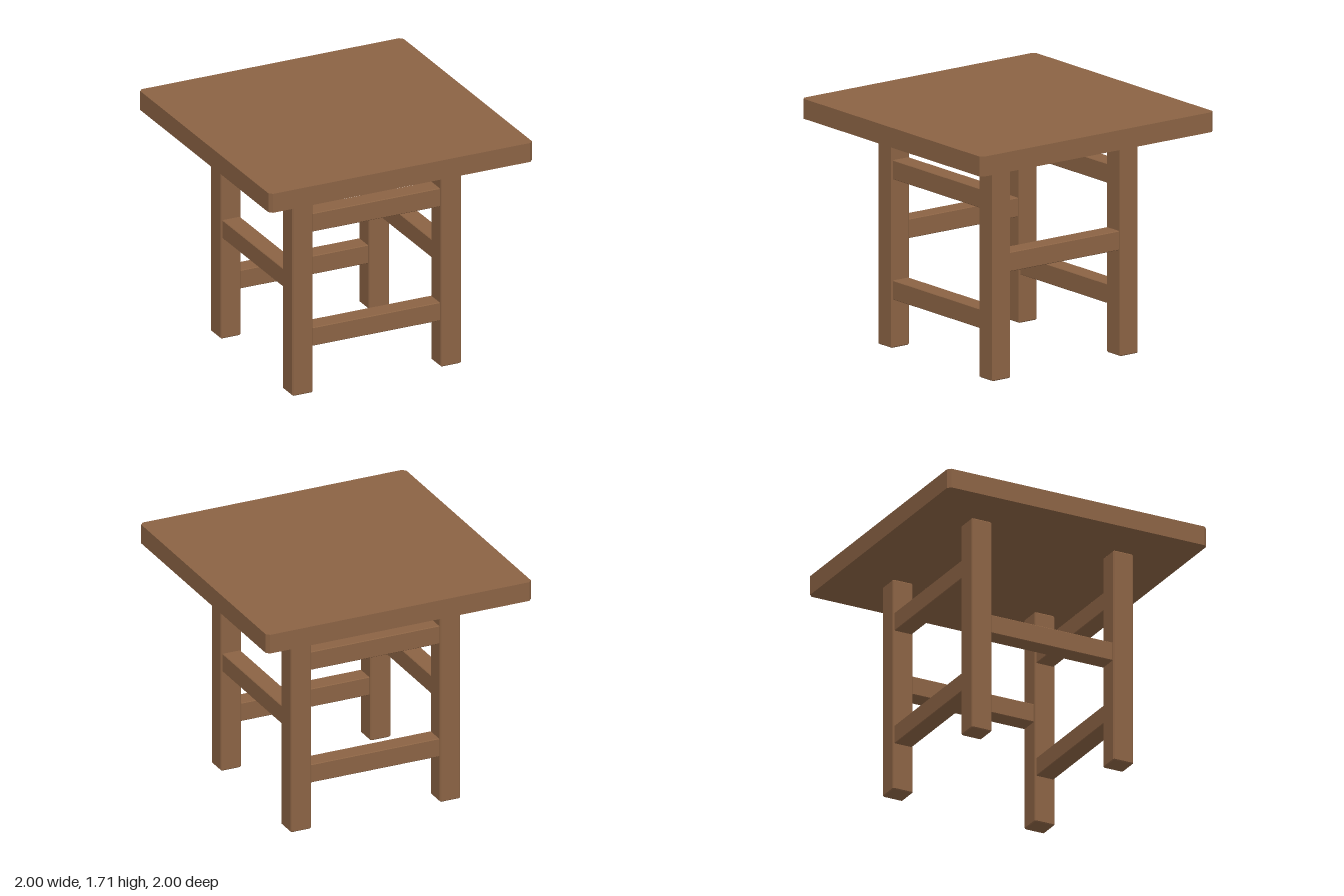
import * as THREE from 'three';

const wood = new THREE.MeshStandardMaterial({ color: 0x8b6344, flatShading: true });

// Square outline with cut corners
function cutSquare(size, cut) {
  const h = size / 2, k = h - cut;
  return new THREE.Shape([
    [h, -k], [h, k], [k, h], [-k, h], [-h, k], [-h, -k], [-k, -h], [k, -h],
  ].map(([x, y]) => new THREE.Vector2(x, y)));
}

// Square beam along z, centred, with all edges chamfered by c
function beamGeometry(size, length, c) {
  const geometry = new THREE.ExtrudeGeometry(cutSquare(size - 2 * c, c * 0.6), {
    depth: length - 2 * c, bevelEnabled: true, bevelSize: c, bevelThickness: c, bevelSegments: 1,
  });
  return geometry.translate(0, 0, c - length / 2);
}

export function createModel() {
  const group = new THREE.Group();
  const add = (name, geometry, x, y, z) => {
    const mesh = new THREE.Mesh(geometry, wood);
    mesh.name = name;
    mesh.position.set(x, y, z);
    group.add(mesh);
  };

  const legX = 0.5625, legZ = 0.5475, legSize = 0.155, railSize = 0.135;
  const topBottom = 1.57, topThickness = 0.14, chamfer = 0.007;

  // Square slab with clipped corners
  const slab = new THREE.ExtrudeGeometry(cutSquare(2, 0.024), { depth: topThickness, bevelEnabled: false });
  add('tabletop', slab.rotateX(-Math.PI / 2), 0, topBottom, 0);

  const leg = beamGeometry(legSize, topBottom, chamfer).rotateX(Math.PI / 2);
  const crossRail = beamGeometry(railSize, 2 * legX - legSize, chamfer / 2).rotateY(Math.PI / 2);
  const sideRail = beamGeometry(railSize, 2 * legZ - legSize, chamfer / 2);

  for (const s of [1, -1]) {
    const end = s > 0 ? 'front' : 'back';
    const side = s > 0 ? 'left' : 'right';
    // Legs at this end
    add(end + 'LeftLeg', leg, legX, topBottom / 2, s * legZ);
    add(end + 'RightLeg', leg, -legX, topBottom / 2, s * legZ);
    // Two rails across each end, one along each side
    add(end + 'UpperRail', crossRail, 0, 1.2525, s * legZ);
    add(end + 'LowerRail', crossRail, 0, 0.4075, s * legZ);
    add(side + 'Rail', sideRail, s * legX, 0.8125, 0);
  }
  return group;
}
